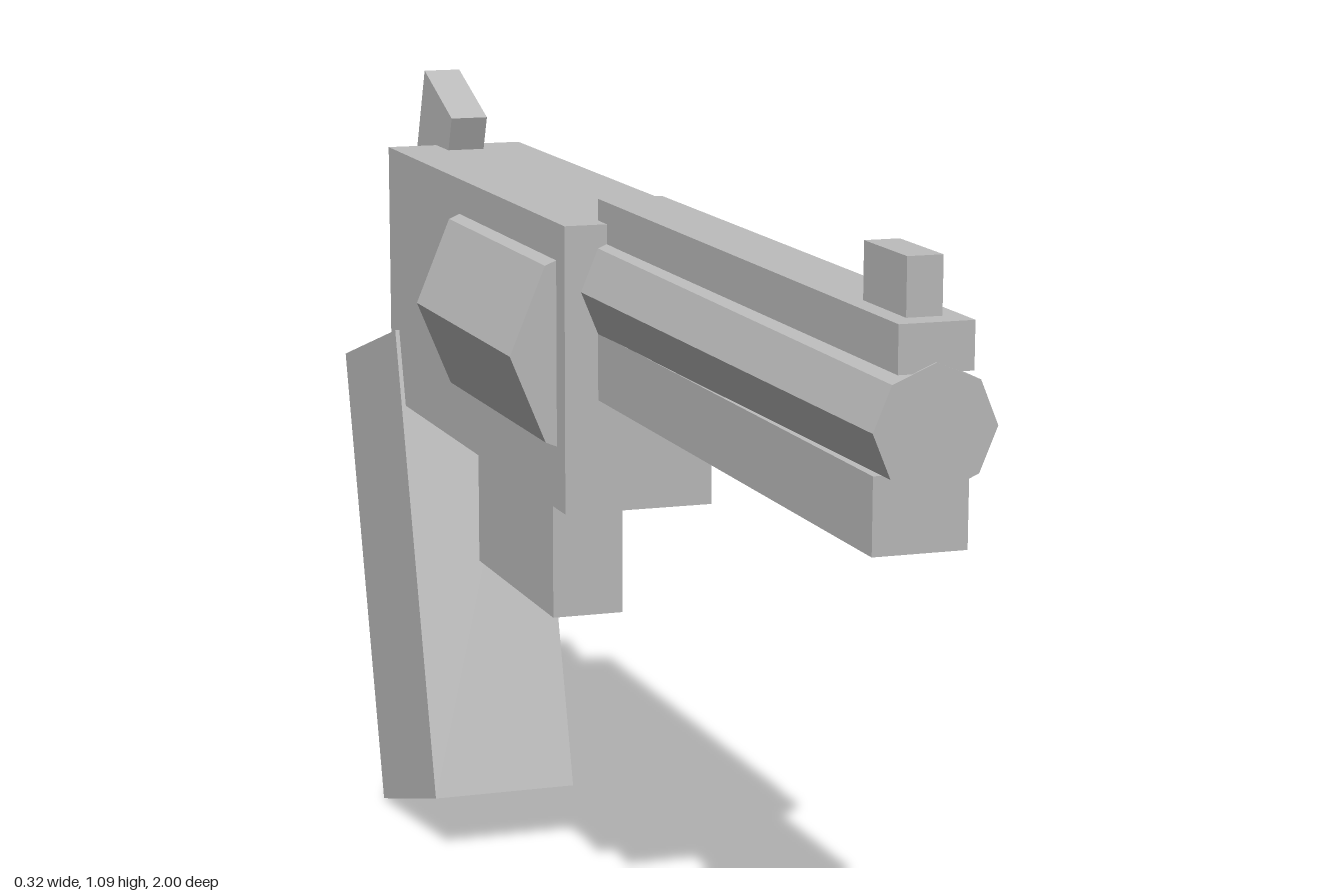
import * as THREE from 'three';

export function createModel() {
  const model = new THREE.Group();
  const grey = new THREE.MeshStandardMaterial({ color: 0xbcbcbc, flatShading: true });
  grey.name = 'grey';

  const add = (name, geometry, y, z, tilt = 0) => {
    const mesh = new THREE.Mesh(geometry, grey);
    mesh.name = name;
    mesh.position.set(0, y, z);
    mesh.rotation.x = tilt;
    model.add(mesh);
  };

  // Upright block given by its width and its y and z limits
  const block = (name, width, y0, y1, z0, z1) =>
    add(name, new THREE.BoxGeometry(width, y1 - y0, z1 - z0), (y0 + y1) / 2, (z0 + z1) / 2);

  // Eight-sided rod along z, with a corner pointing straight up
  const rod = (name, frontRadius, backRadius, y, z0, z1) =>
    add(name, new THREE.CylinderGeometry(frontRadius, backRadius, z1 - z0, 8).rotateX(Math.PI / 2), y, (z0 + z1) / 2);

  // Body and drum
  block('frame', 0.194, 0.627, 0.99, -0.755, 0.07);
  rod('drum', 0.158, 0.158, 0.825, -0.393, 0.036);
  block('triggerGuard', 0.096, 0.44, 0.64, -0.48, -0.137);

  // Slightly tapered barrel with its rib, lug and sight
  rod('barrel', 0.069, 0.076, 0.907, 0.03, 1);
  block('topRib', 0.084, 0.965, 1.017, 0.036, 0.998);
  block('underLug', 0.107, 0.77, 0.855, 0.05, 0.965);
  block('frontSight', 0.04, 1.01, 1.08, 0.85, 0.965);

  // Tilted hammer and grip
  add('hammer', new THREE.BoxGeometry(0.052, 0.132, 0.149), 1.0025, -0.7675, 0.37);
  add('grip', new THREE.BoxGeometry(0.206, 0.674, 0.301), 0.3665, -0.762, -0.281);

  return model;
}
